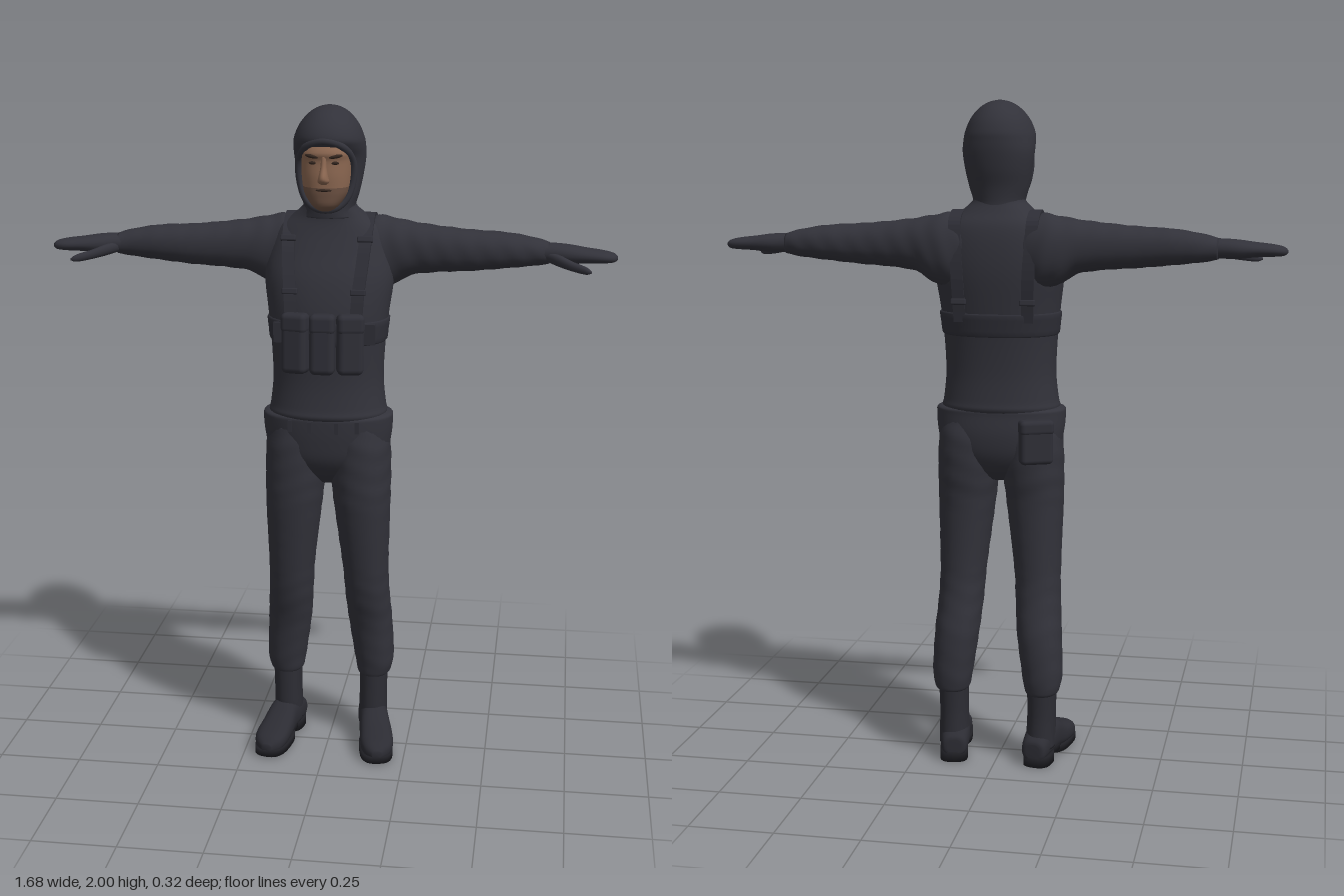
import * as THREE from 'three';
import { RoundedBoxGeometry } from 'three/addons/geometries/RoundedBoxGeometry.js';

const mat = (name, color, side = THREE.FrontSide) => {
  const m = new THREE.MeshStandardMaterial({ color, side });
  m.name = name;
  return m;
};

// Smoothly resample a short list of stations [along, centreU, centreV, radiusU, radiusV]
function resample(st, steps) {
  const out = [];
  for (let i = 0; i < st.length - 1; i++) {
    const [p, a, b, q] = [st[Math.max(i - 1, 0)], st[i], st[i + 1], st[Math.min(i + 2, st.length - 1)]];
    for (let s = 0; s < steps; s++) {
      const t = s / steps;
      out.push(a.map((v, k) => 0.5 * (2 * v + (b[k] - p[k]) * t
        + (2 * p[k] - 5 * v + 4 * b[k] - q[k]) * t * t + (3 * v - p[k] - 3 * b[k] + q[k]) * t * t * t)));
    }
  }
  out.push(st[st.length - 1]);
  return out;
}

// Skin superellipse rings along an axis; ring planes: y -> (x,z), x -> (z,y), z -> (y,x)
function loft(st, { axis = 'y', n = 28, steps = 5, p = 2.2, fold = 0 } = {}) {
  const rows = resample(st, steps), pos = [], idx = [];
  const put = (t, u, v) => pos.push(...(axis === 'y' ? [u, t, v] : axis === 'x' ? [t, v, u] : [v, u, t]));
  const pow = (c) => Math.sign(c) * Math.abs(c) ** (2 / p);
  rows.forEach(([t, cu, cv, ru, rv]) => {
    for (let j = 0; j < n; j++) {
      const a = j / n * Math.PI * 2;
      const k = 1 + fold * Math.sin(t * 95 + 2 * Math.sin(a * 2)); // cloth folds
      put(t, cu + pow(Math.cos(a)) * ru * k, cv + pow(Math.sin(a)) * rv * k);
    }
  });
  for (let i = 0; i < rows.length - 1; i++) for (let j = 0; j < n; j++) {
    const a = i * n + j, b = i * n + (j + 1) % n;
    idx.push(a, a + n, b, b, a + n, b + n);
  }
  const last = (rows.length - 1) * n, c = rows.length * n;
  [rows[0], rows[rows.length - 1]].forEach((r) => put(r[0], r[1], r[2]));
  for (let j = 0; j < n; j++) {
    const k = (j + 1) % n;
    idx.push(c, j, k, c + 1, last + k, last + j);
  }
  const g = new THREE.BufferGeometry();
  g.setAttribute('position', new THREE.Float32BufferAttribute(pos, 3));
  g.setIndex(idx);
  g.computeVertexNormals();
  return g;
}

// Mirror a geometry to the other side
function mirror(geo) {
  const g = geo.clone().scale(-1, 1, 1), ix = g.index.array;
  for (let i = 0; i < ix.length; i += 3) [ix[i], ix[i + 1]] = [ix[i + 1], ix[i]];
  g.computeVertexNormals();
  return g;
}

// Flat webbing: a thin rectangle swept along points, width along x
function webbing(pts, width, thick = 0.012) {
  const curve = new THREE.CatmullRomCurve3(pts), N = 40, pos = [], idx = [];
  for (let i = 0; i <= N; i++) {
    const c = curve.getPoint(i / N), t = curve.getTangent(i / N);
    const l = Math.hypot(t.y, t.z), ny = -t.z / l * thick / 2, nz = t.y / l * thick / 2;
    [[-1, -1], [1, -1], [1, 1], [-1, 1]].forEach(([s, d]) => pos.push(c.x + s * width / 2, c.y + d * ny, c.z + d * nz));
  }
  for (let i = 0; i < N; i++) for (let j = 0; j < 4; j++) {
    const a = i * 4 + j, b = i * 4 + (j + 1) % 4;
    idx.push(a, b, a + 4, b, b + 4, a + 4);
  }
  const g = new THREE.BufferGeometry();
  g.setAttribute('position', new THREE.Float32BufferAttribute(pos, 3));
  g.setIndex(idx);
  const flat = g.toNonIndexed();
  flat.computeVertexNormals();
  return flat;
}

export function createModel() {
  const root = new THREE.Group();
  root.name = 'figure';
  const suit = mat('suit cloth', 0x32323a), gear = mat('webbing gear', 0x2e2e36, THREE.DoubleSide);
  const boot = mat('boot leather', 0x2c2c33), sole = mat('boot sole', 0x1f1f24);
  const skin = mat('skin', 0x8a6650), stubble = mat('stubble', 0x6c5142), dark = mat('brow and eye', 0x33261f);
  const add = (name, geo, m, parent = root) => {
    const o = new THREE.Mesh(geo, m);
    o.name = name;
    parent.add(o);
    return o;
  };
  const pair = (name, geo, m) => {
    add('left ' + name, geo, m);
    add('right ' + name, mirror(geo), m);
  };

  // Jacket body
  const torso = [[1.085, 0, -0.003, 0.172, 0.122], [1.1, 0, -0.003, 0.178, 0.13], [1.125, 0, -0.004, 0.173, 0.126],
    [1.2, 0, -0.006, 0.166, 0.121], [1.3, 0, -0.008, 0.17, 0.126], [1.4, 0, -0.014, 0.18, 0.134],
    [1.5, 0, -0.03, 0.192, 0.13], [1.58, 0, -0.046, 0.182, 0.113], [1.64, 0, -0.052, 0.158, 0.096],
    [1.68, 0, -0.045, 0.11, 0.08], [1.71, 0, -0.035, 0.078, 0.076], [1.74, 0, -0.035, 0.075, 0.075]];
  add('jacket', loft(torso, { n: 40 }), suit);
  const dense = resample(torso, 12);
  const at = (y) => dense.reduce((a, b) => Math.abs(b[0] - y) < Math.abs(a[0] - y) ? b : a);
  const surf = (x, y, s, off = 0.004) => {
    const [, , cz, rx, rz] = at(y);
    return new THREE.Vector3(x, y, cz + s * (rz * Math.max(0, 1 - Math.abs(x / rx) ** 2.2) ** (1 / 2.2) + off));
  };

  // Sleeves, mitten hands and thumbs
  pair('sleeve', loft([[0.07, -0.07, 1.57, 0.07, 0.08], [0.13, -0.074, 1.567, 0.083, 0.108], [0.18, -0.074, 1.568, 0.082, 0.102],
    [0.24, -0.068, 1.58, 0.073, 0.079], [0.32, -0.062, 1.581, 0.067, 0.068], [0.42, -0.058, 1.58, 0.063, 0.06],
    [0.52, -0.06, 1.582, 0.059, 0.052], [0.6, -0.06, 1.58, 0.049, 0.041], [0.645, -0.055, 1.578, 0.041, 0.031]],
  { axis: 'x', fold: 0.016 }), suit);
  pair('hand', loft([[0.61, -0.055, 1.579, 0.038, 0.028], [0.65, -0.052, 1.579, 0.042, 0.029], [0.7, -0.047, 1.577, 0.048, 0.028],
    [0.75, -0.04, 1.576, 0.047, 0.022], [0.8, -0.035, 1.574, 0.042, 0.018], [0.83, -0.034, 1.572, 0.028, 0.013],
    [0.842, -0.034, 1.571, 0.006, 0.004]], { axis: 'x', n: 20 }), suit);
  pair('thumb', loft([[0.63, -0.035, 1.573, 0.015, 0.014], [0.67, -0.006, 1.565, 0.02, 0.017], [0.71, 0.022, 1.554, 0.016, 0.014],
    [0.75, 0.045, 1.546, 0.011, 0.011], [0.767, 0.053, 1.543, 0.003, 0.003]], { axis: 'x', n: 14 }), suit);

  // Trousers
  add('trouser seat', loft([[0.875, 0, -0.01, 0.03, 0.05], [0.91, 0, -0.01, 0.12, 0.09], [0.96, 0, -0.008, 0.175, 0.118],
    [1.02, 0, -0.007, 0.191, 0.127], [1.075, 0, -0.003, 0.196, 0.126], [1.093, 0, -0.003, 0.193, 0.124],
    [1.1, 0, -0.003, 0.17, 0.11]], { n: 40 }), suit);
  pair('trouser leg', loft([[0.22, 0.138, -0.068, 0.045, 0.06], [0.232, 0.139, -0.068, 0.053, 0.068], [0.28, 0.139, -0.066, 0.061, 0.076],
    [0.4, 0.128, -0.055, 0.067, 0.085], [0.5, 0.12, -0.03, 0.068, 0.09], [0.6, 0.115, -0.015, 0.07, 0.095],
    [0.8, 0.105, -0.003, 0.085, 0.112], [0.9, 0.1, -0.006, 0.091, 0.121], [1, 0.097, -0.008, 0.09, 0.122],
    [1.06, 0.09, -0.005, 0.08, 0.11]], { fold: 0.009, steps: 7 }), suit);
  for (const x of [-0.1, -0.04, 0.04, 0.1]) {
    const z = 0.123 * (1 - Math.abs(x / 0.196) ** 2.2) ** (1 / 2.2);
    add('belt loop', new THREE.BoxGeometry(0.012, 0.035, 0.01), gear).position.set(x, 1.07, z);
  }

  // Boots, splayed slightly outwards
  pair('boot shaft', loft([[0.05, 0.135, -0.07, 0.045, 0.06], [0.1, 0.136, -0.063, 0.044, 0.062], [0.16, 0.137, -0.062, 0.043, 0.06],
    [0.25, 0.138, -0.065, 0.045, 0.06]], { n: 24 }), boot);
  const splay = (g) => g.rotateY(0.17).translate(0.134, 0, -0.07);
  pair('boot foot', splay(loft([[-0.071, 0.05, 0, 0.022, 0.022], [-0.06, 0.052, 0, 0.036, 0.038], [0, 0.067, 0, 0.05, 0.046],
    [0.06, 0.068, 0.002, 0.052, 0.046], [0.11, 0.053, 0.004, 0.04, 0.05], [0.17, 0.044, 0.004, 0.032, 0.051],
    [0.21, 0.039, 0.002, 0.026, 0.04], [0.235, 0.034, 0, 0.012, 0.014]], { axis: 'z', p: 2.5 })), boot);
  const tread = (z0, z1, w, y0, y1) => {
    const mid = (z0 + z1) / 2, h = (z1 - z0) / 2;
    return splay(loft([[y0, 0.002, mid, w, h], [y1, 0.002, mid, w, h]], { n: 24, steps: 1, p: 2.8 }));
  };
  pair('boot heel', tread(-0.072, 0.035, 0.043, 0, 0.032), sole);
  pair('boot tread', tread(0.05, 0.236, 0.052, 0.006, 0.028), sole);
  pair('boot waist', tread(0, 0.13, 0.04, 0.018, 0.04), sole);

  // Hood, open at the front
  add('hood', loft([[1.68, 0, -0.035, 0.085, 0.083], [1.705, 0, -0.032, 0.076, 0.083], [1.75, 0, -0.036, 0.088, 0.086],
    [1.8, 0, -0.045, 0.098, 0.092], [1.85, 0, -0.045, 0.105, 0.102], [1.885, 0, -0.03, 0.105, 0.12],
    [1.91, 0, -0.021, 0.101, 0.128], [1.945, 0, -0.021, 0.086, 0.114], [1.975, 0, -0.023, 0.061, 0.085],
    [1.993, 0, -0.025, 0.033, 0.045], [2, 0, -0.025, 0.004, 0.005]], { n: 36, p: 2.1 }), suit);
  const rim = [[0, 1.908, 0.102], [0.05, 1.893, 0.087], [0.078, 1.85, 0.05], [0.078, 1.79, 0.042], [0.058, 1.735, 0.052],
    [0.025, 1.71, 0.062]].map((v) => new THREE.Vector3(...v));
  const loop = [...rim, ...rim.slice(1).reverse().map((v) => new THREE.Vector3(-v.x, v.y, v.z))];
  add('hood rim', new THREE.TubeGeometry(new THREE.CatmullRomCurve3(loop, true), 60, 0.01, 8, true), suit);

  // Face: jaw rows take the stubble colour
  const faceSteps = 4, faceN = 32;
  const face = loft([[1.7, 0, 0.04, 0.02, 0.025], [1.72, 0, 0.047, 0.04, 0.048], [1.75, 0, 0.033, 0.062, 0.068], [1.775, 0, 0.025, 0.07, 0.077],
    [1.81, 0, 0.02, 0.074, 0.083], [1.85, 0, 0.02, 0.076, 0.08], [1.875, 0, 0.018, 0.076, 0.087],
    [1.91, 0, 0, 0.06, 0.08]], { n: faceN, steps: faceSteps, p: 2.3 });
  const jaw = 3 * faceSteps * faceN * 6;
  face.addGroup(0, jaw, 0);
  face.addGroup(jaw, face.index.count - jaw, 1);
  add('face', face, [stubble, skin]);
  add('nose', loft([[1.785, 0, 0.098, 0.008, 0.008], [1.794, 0, 0.103, 0.017, 0.022], [1.808, 0, 0.104, 0.014, 0.025],
    [1.835, 0, 0.1, 0.009, 0.013], [1.865, 0, 0.095, 0.008, 0.009]], { n: 14, p: 2 }), skin);
  add('mouth', new THREE.SphereGeometry(1, 16, 8).scale(0.024, 0.004, 0.006), dark).position.set(0, 1.769, 0.1);
  for (const s of [-1, 1]) {
    add('eye', new THREE.SphereGeometry(1, 12, 8).scale(0.013, 0.005, 0.005), dark).position.set(s * 0.031, 1.846, 0.094);
    const brow = add('eyebrow', new THREE.SphereGeometry(1, 12, 8).scale(0.021, 0.0055, 0.007), dark);
    brow.position.set(s * 0.034, 1.865, 0.097);
    brow.rotation.set(0, s * 0.2, s * 0.15);
  }

  // Chest rig: band, shoulder straps, buckles and pouches
  add('chest band', loft([1.315, 1.32, 1.35, 1.38, 1.385].map((y, i) => {
    const [, cx, cz, rx, rz] = at(y), o = i % 4 ? 0.005 : -0.002;
    return [y, cx, cz, rx + o, rz + o];
  }), { n: 40, steps: 2 }), gear);
  for (const s of [-1, 1]) {
    const V = (x, y, z) => new THREE.Vector3(s * x, y, z);
    add('shoulder strap', webbing([surf(s * 0.095, 1.39, 1), surf(s * 0.1, 1.47, 1), surf(s * 0.108, 1.55, 1), surf(s * 0.113, 1.61, 1),
      V(0.115, 1.655, -0.01), V(0.115, 1.679, -0.06), V(0.115, 1.655, -0.125),
      surf(s * 0.112, 1.6, -1), surf(s * 0.105, 1.5, -1), surf(s * 0.1, 1.36, -1)], 0.036), gear);
    for (const [x, y, d] of [[0.1, 1.475, 1], [0.113, 1.62, 1], [0.102, 1.42, -1]]) {
      const b = add('strap buckle', new RoundedBoxGeometry(0.046, 0.018, 0.014, 2, 0.004), gear);
      b.position.copy(surf(s * x, y, d, 0.01));
      b.rotation.x = y > 1.55 ? -0.5 : -0.2 * d;
    }
    add('pouch side tab', new THREE.BoxGeometry(0.05, 0.06, 0.012), gear).position.copy(surf(s * 0.125, 1.35, 1));
  }
  for (const [x, w] of [[-0.08, 0.078], [0, 0.074], [0.08, 0.078]]) {
    const pouch = new THREE.Group();
    pouch.name = 'chest pouch';
    add('pouch body', new RoundedBoxGeometry(w, 0.178, 0.058, 4, 0.018), gear, pouch);
    add('pouch flap', new RoundedBoxGeometry(w + 0.002, 0.06, 0.062, 3, 0.016), gear, pouch).position.set(0, 0.06, 0);
    pouch.position.set(x, 1.325, x ? 0.119 : 0.127);
    pouch.rotation.set(-0.05, x * 3, 0);
    root.add(pouch);
  }

  // Hip pouch on the back right
  const hip = add('hip pouch', new RoundedBoxGeometry(0.1, 0.13, 0.045, 4, 0.014), gear);
  hip.position.set(-0.125, 1.005, -0.117);
  hip.rotation.y = 0.42;
  const flap = add('hip pouch flap', new RoundedBoxGeometry(0.104, 0.045, 0.05, 3, 0.014), gear, hip);
  flap.position.y = 0.045;
  return root;
}
